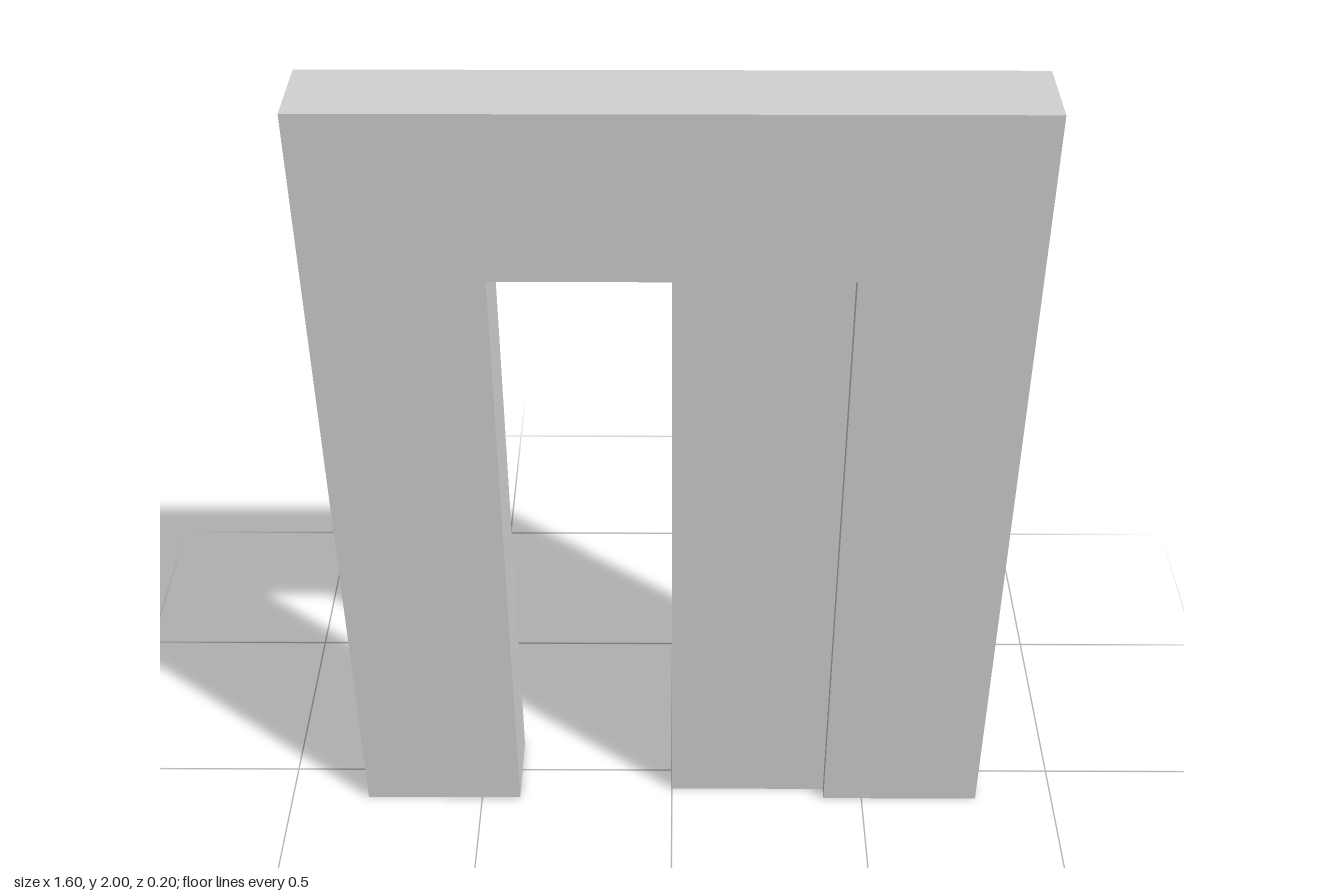
import * as THREE from 'three';

export function createModel() {
  const group = new THREE.Group();
  const paint = new THREE.MeshStandardMaterial({ color: 0xd1d1d1, side: THREE.DoubleSide });
  paint.name = 'light grey';
  const halfDepth = 0.1;

  const add = (parent, name, geometry, x, y, z) => {
    const mesh = new THREE.Mesh(geometry, paint);
    mesh.name = name;
    mesh.position.set(x, y, z);
    parent.add(mesh);
  };

  // Hollow doorway frame, open under both posts
  const frame = new THREE.Group();
  frame.name = 'doorFrame';
  group.add(frame);
  const outline = [
    [0.4, 0], [0.8, 0], [0.8, 2], [-0.8, 2],
    [-0.8, 0], [-0.4, 0], [-0.4, 1.6], [0.4, 1.6],
  ].map(([x, y]) => new THREE.Vector2(x, y));
  const face = new THREE.ShapeGeometry(new THREE.Shape(outline));
  add(frame, 'frameFront', face, 0, 0, halfDepth);
  add(frame, 'frameBack', face.clone().rotateY(Math.PI), 0, 0, -halfDepth);

  // Edge walls along the outline, skipping the open post bottoms
  outline.forEach((a, i) => {
    const b = outline[(i + 1) % outline.length];
    if (a.y === 0 && b.y === 0) return;
    const wall = new THREE.PlaneGeometry(a.distanceTo(b), 2 * halfDepth);
    wall.rotateX(-Math.PI / 2);
    wall.rotateZ(Math.atan2(b.y - a.y, b.x - a.x) + Math.PI); // faces outwards
    add(frame, 'frameEdge', wall, (a.x + b.x) / 2, (a.y + b.y) / 2, 0);
  });

  // Partition inside each hollow post
  for (const side of [-1, 1]) {
    const partition = new THREE.PlaneGeometry(2 * halfDepth, 1.6).rotateY(Math.PI / 2);
    add(frame, 'postPartition', partition, side * 0.5, 0.8, 0);
  }

  // Sliding door, half open and running into the left post
  add(group, 'slidingDoor', new THREE.BoxGeometry(0.798, 1.6, 0.067), 0.399, 0.8, 0.0335);

  return group;
}
